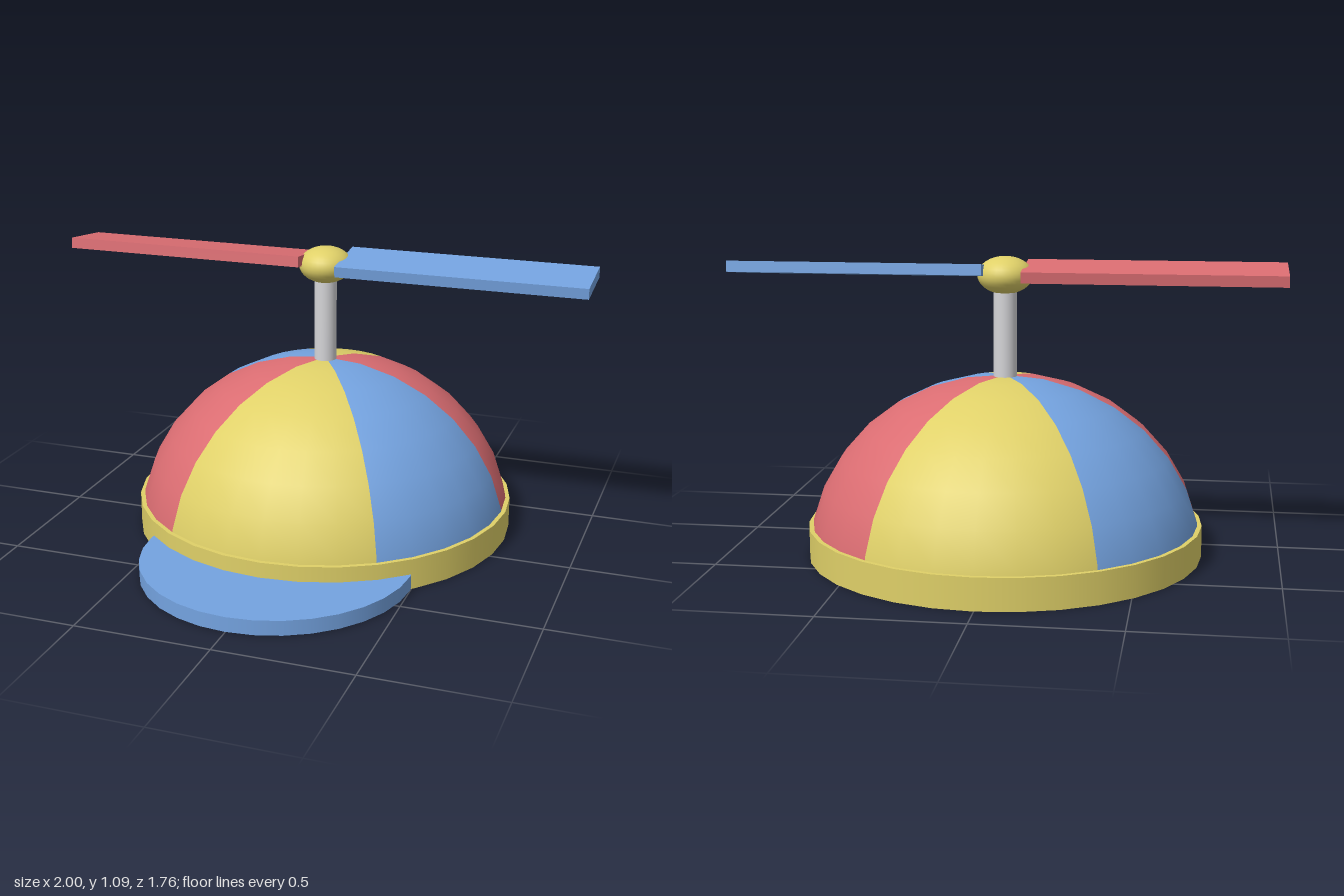
import * as THREE from 'three';

const CAP_Z = -0.16; // axis of the cap, stem and propeller

function material(name, color) {
  const m = new THREE.MeshStandardMaterial({ color });
  m.name = name;
  return m;
}

export function createModel() {
  const yellow = material('yellow', 0xdfd068);
  const blue = material('blue', 0x74a3e0);
  const red = material('red', 0xdb6d72);
  const grey = material('light grey', 0xd5d5d8);

  const model = new THREE.Group();
  model.name = 'propellerCap';

  function add(name, geometry, mat, x, y, z, parent = model) {
    const mesh = new THREE.Mesh(geometry, mat);
    mesh.name = name;
    mesh.position.set(x, y, z);
    parent.add(mesh);
    return mesh;
  }

  // Dome: six coloured wedges of a flattened hemisphere, 32 segments around
  const dome = new THREE.Group();
  dome.name = 'dome';
  dome.position.z = CAP_Z;
  dome.scale.set(0.716, 0.655, 0.716);
  model.add(dome);
  const step = Math.PI / 16;
  const wedges = [
    ['rightFrontPanel', 5, red], ['frontPanel', 6, yellow], ['leftFrontPanel', 5, blue],
    ['leftBackPanel', 5, red], ['backPanel', 6, yellow], ['rightBackPanel', 5, blue],
  ];
  let start = 0;
  for (const [name, count, mat] of wedges) {
    const wedge = new THREE.SphereGeometry(1, count, 8, start * step, count * step, 0, Math.PI / 2);
    add(name, wedge, mat, 0, 0, 0, dome);
    start += count;
  }

  // Band around the bottom, closed underneath
  add('band', new THREE.CylinderGeometry(0.72, 0.72, 0.115, 32), yellow, 0, 0.0575, CAP_Z);

  // Visor: a flat round disc running under the front, just above the band's base
  add('visor', new THREE.CylinderGeometry(0.5, 0.5, 0.055, 32), blue, 0, 0.0295, 0.375);

  // Stem and hub
  add('stem', new THREE.CylinderGeometry(0.042, 0.042, 0.36, 32), grey, 0, 0.81, CAP_Z);
  add('hub', new THREE.SphereGeometry(0.1, 32, 16), yellow, 0, 1.018, CAP_Z).scale.y = 0.68;

  // Propeller blades, pitched opposite ways
  for (const [name, side, mat] of [['leftBlade', 1, blue], ['rightBlade', -1, red]]) {
    const blade = add(name, new THREE.BoxGeometry(0.93, 0.04, 0.222), mat, side * 0.535, 1.033, CAP_Z);
    blade.rotation.x = side * 0.12;
  }

  return model;
}
